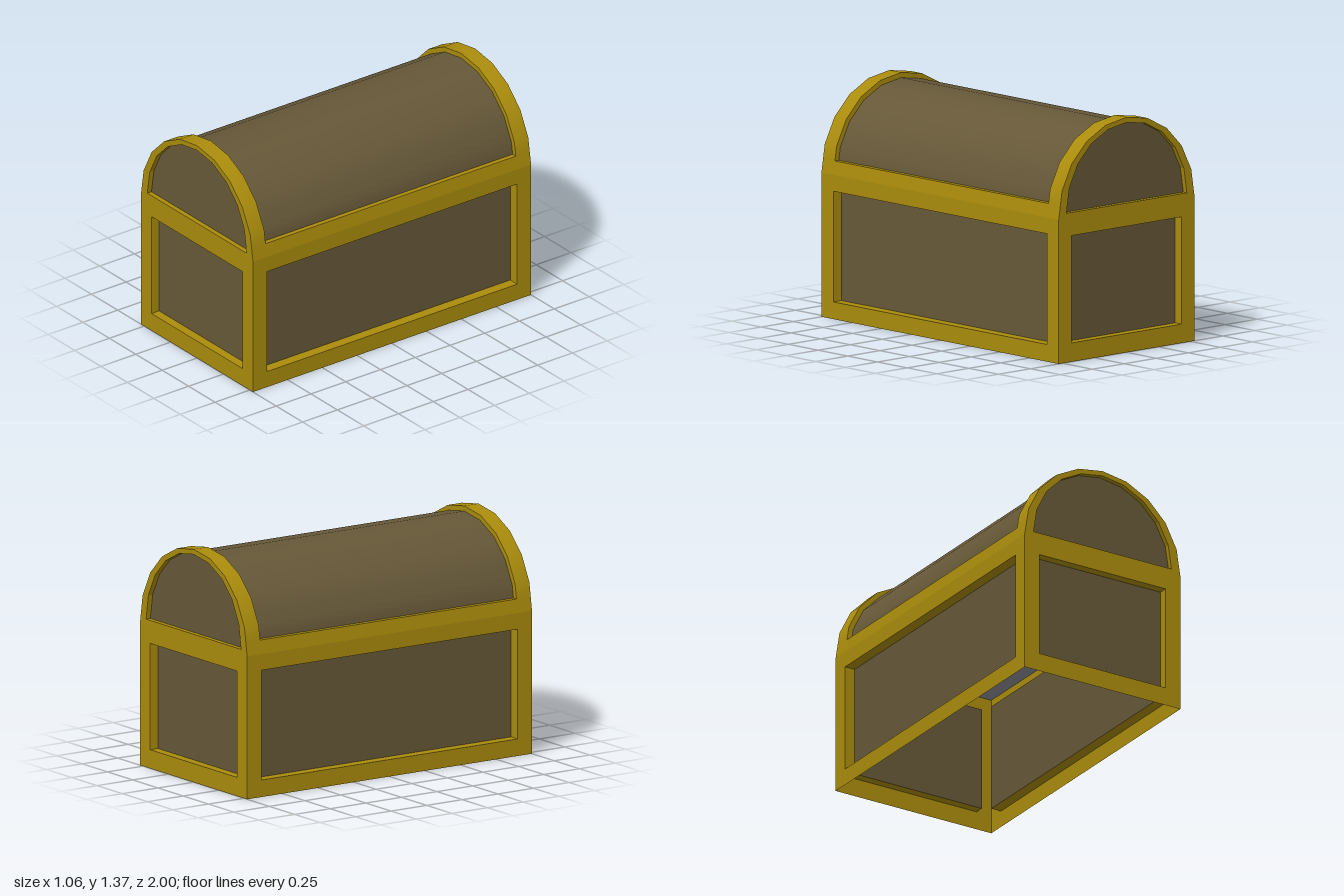
import * as THREE from 'three';

const HALF_W = 0.53, HALF_L = 1, WALL_H = 0.84, LID_SEGS = 10;
const material = (color) => new THREE.MeshStandardMaterial({ color, side: THREE.DoubleSide });

// Rectangle outline, counter-clockwise
const rect = (w, y0, y1) => [[-w, y0], [w, y0], [w, y1], [-w, y1]];

// Half-round arc from +x over the top to -x, optionally cut off level at height yCut
function arch(r, cy, yCut = cy) {
  const pts = [];
  for (let i = 0; i <= LID_SEGS; i++) {
    const a = (i / LID_SEGS) * Math.PI;
    pts.push([r * Math.cos(a), cy + r * Math.sin(a)]);
  }
  const t = (yCut - pts[0][1]) / (pts[1][1] - pts[0][1]);
  const x = pts[0][0] + t * (pts[1][0] - pts[0][0]);
  pts[0] = [x, yCut];
  pts[LID_SEGS] = [-x, yCut];
  return pts;
}

// Surface between two rows of 2D points, each row at its own z
function strip(rowA, zA, rowB, zB, smooth = false) {
  const n = rowA.length, pos = [], index = [];
  rowA.forEach(([x, y]) => pos.push(x, y, zA));
  rowB.forEach(([x, y]) => pos.push(x, y, zB));
  for (let i = 0; i < n - 1; i++) index.push(i, i + 1, n + i, i + 1, n + i + 1, n + i);
  let geo = new THREE.BufferGeometry();
  geo.setAttribute('position', new THREE.Float32BufferAttribute(pos, 3));
  geo.setIndex(index);
  if (!smooth) geo = geo.toNonIndexed();
  geo.computeVertexNormals();
  return geo;
}

const toShape = (pts) => new THREE.Shape(pts.map(([x, y]) => new THREE.Vector2(x, y)));

export function createModel() {
  const model = new THREE.Group();
  model.name = 'chest';
  const gold = material(0xaa8c0c), wood = material(0x665838), lining = material(0x8c8c96);

  const add = (parent, name, geo, mat) => {
    const mesh = new THREE.Mesh(geo, mat);
    mesh.name = name;
    parent.add(mesh);
    return mesh;
  };

  // Thin frame facing +z whose openings step back to recessed panels
  function framedWall(name, outline, recesses) {
    const wall = new THREE.Group();
    wall.name = name;
    const shape = toShape(outline);
    recesses.forEach(({ hole, depth }) => {
      shape.holes.push(new THREE.Path(toShape(hole).getPoints()));
      const loop = [...hole, hole[0]].reverse();
      add(wall, 'frameReveal', strip(loop, -depth, loop, 0), gold);
      add(wall, 'panel', new THREE.ShapeGeometry(toShape(hole)), wood).position.z = -depth;
    });
    add(wall, 'frame', new THREE.ShapeGeometry(shape), gold);
    model.add(wall);
    return wall;
  }

  // End walls with the rounded gable, and the long side walls
  const lidArc = arch(HALF_W, WALL_H);
  const endOutline = [[-HALF_W, 0], [HALF_W, 0], ...lidArc];
  for (const s of [1, -1]) {
    const end = framedWall(s > 0 ? 'frontWall' : 'backWall', endOutline, [
      { hole: rect(0.43, 0.11, 0.735), depth: 0.055 },
      { hole: arch(0.47, 0.87), depth: 0.03 },
    ]);
    end.position.z = s * HALF_L;
    end.rotation.y = s > 0 ? 0 : Math.PI;

    const side = framedWall(s > 0 ? 'leftWall' : 'rightWall', rect(HALF_L, 0, WALL_H), [
      { hole: rect(0.9, 0.1, 0.745), depth: 0.065 },
    ]);
    side.position.x = s * HALF_W;
    side.rotation.y = s * Math.PI / 2;
  }

  // Barrel lid: recessed vault between two end hoops and two low rails
  const lid = new THREE.Group();
  lid.name = 'lid';
  model.add(lid);
  const railTop = 0.92, hoopZ = 0.9;
  const outer = arch(HALF_W, WALL_H, railTop);
  const inner = arch(0.5, WALL_H, railTop);
  add(lid, 'vault', strip(inner, -hoopZ, inner, hoopZ, true), wood);
  for (const s of [1, -1]) {
    const [z0, z1] = s > 0 ? [hoopZ, HALF_L] : [-HALF_L, -hoopZ];
    add(lid, 'hoop', strip(outer, z0, outer, z1, true), gold);
    const [rowA, rowB] = s > 0 ? [outer, inner] : [inner, outer];
    add(lid, 'hoopFlank', strip(rowA, s * hoopZ, rowB, s * hoopZ), gold);

    const x = outer[0][0], xi = inner[0][0];
    const rail = s > 0 ? [[HALF_W, WALL_H], [x, railTop]] : [[-x, railTop], [-HALF_W, WALL_H]];
    add(lid, 'rail', strip(rail, -HALF_L, rail, HALF_L), gold);
    const ledge = s > 0 ? [[x, railTop], [xi, railTop]] : [[-xi, railTop], [-x, railTop]];
    add(lid, 'railLedge', strip(ledge, -hoopZ, ledge, hoopZ), gold);
  }

  // Flat underside of the lid, seen through the open bottom
  const underside = add(lid, 'lidUnderside', new THREE.PlaneGeometry(2 * HALF_W, 2 * HALF_L), lining);
  underside.rotation.x = Math.PI / 2;
  underside.position.y = WALL_H;

  return model;
}
